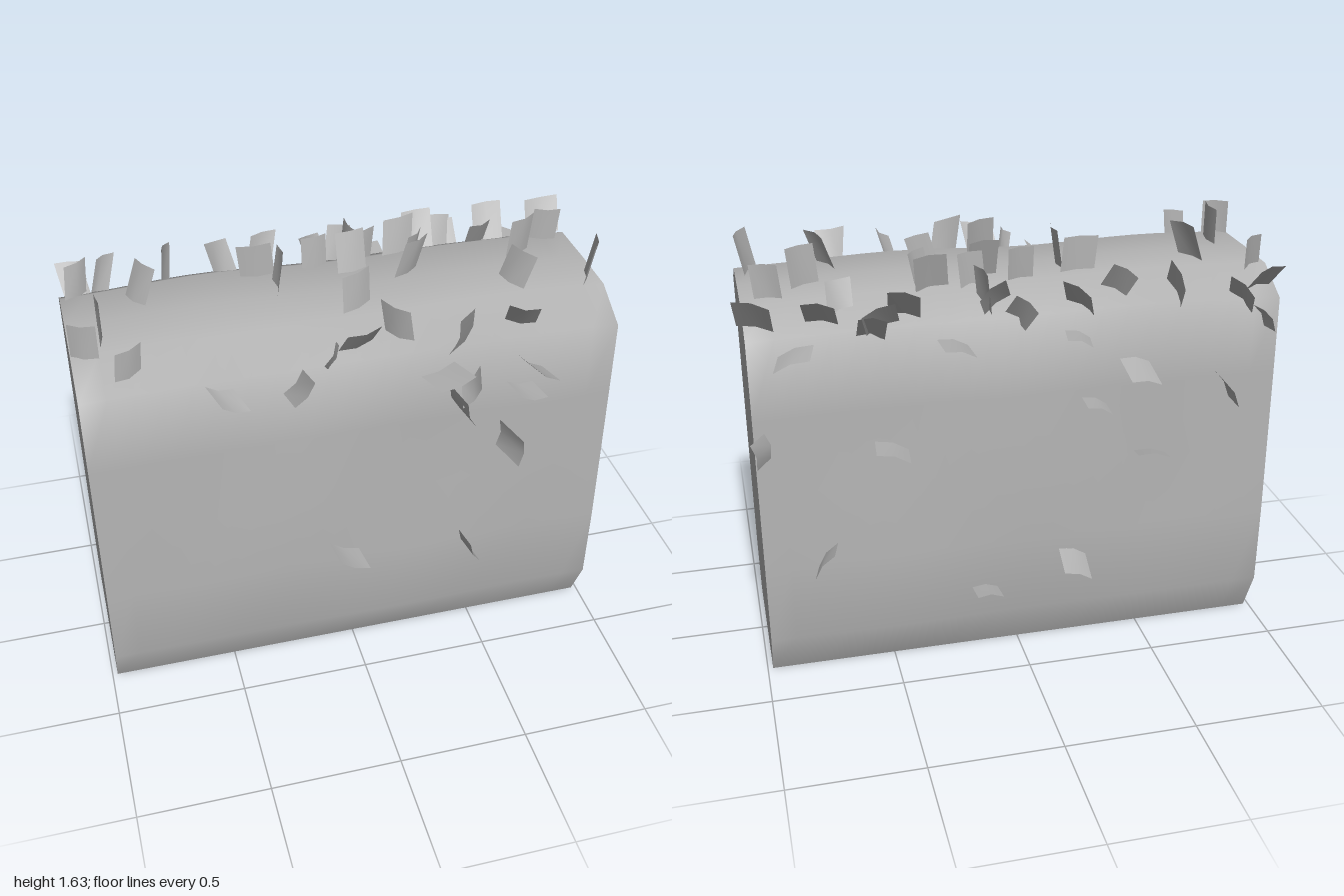
import * as THREE from 'three';

const HALF = 0.98;

// Cross-section as [z, y], from the front foot over the top to the back foot
const PROFILE = [
  [0.295, 0], [0.375, 0.18], [0.378, 0.5], [0.372, 0.8], [0.365, 1.1], [0.358, 1.39],
  [0.2, 1.475], [0, 1.478], [-0.2, 1.475],
  [-0.352, 1.39], [-0.36, 1.1], [-0.366, 0.8], [-0.372, 0.5], [-0.37, 0.18], [-0.29, 0],
];

// Leaves on each side: [x, position, turn in degrees, lean sideways, lean up the surface]
const FRONT = [
  [-0.5, 1.38, -15, 0.3, -0.1], [-0.24, 1.36, 52, 0.05, 0.3], [0.29, 1.32, 20, 0.25, 0.15],
  [0.42, 1.27, 48, -0.3, -0.1], [0.36, 1.19, -70, 0.1, 0.1], [0.64, 1.3, -35, 0.1, 0.2],
  [0.61, 1.21, -8, 0.1, 0.1], [0.54, 0.99, 85, 0.25, 0], [-0.06, 0.56, -25, 0.1, 0.05],
  [0.43, 0.49, -65, 0.1, 0.1],
];
const BACK = [
  [0.93, 1.0, 80, 0.5, 0.1], [0.74, 0.53, -50, 0.2, 0.2], [0.49, 0.95, 20, 0.1, 0.1],
  [0.15, 0.3, 5, 0, 0.2], [-0.2, 0.42, 20, 0.1, -0.2], [-0.5, 0.81, 10, 0.2, 0.35],
  [-0.27, 1.05, 20, 0.1, 0.1], [-0.42, 1.2, 10, 0, -0.2], [-0.77, 1.07, 60, 0.1, 0.1],
  [-0.2, 1.32, 20, 0.2, 0.1], [0.26, 1.33, 15, 0, 0.1], [0.81, 1.35, -15, 0.2, 0],
  [-0.9, 1.33, 60, 0.1, 0.2],
];
const TOP = [
  [-0.92, 0.21, 35, 0.1, 0.25], [-0.72, 0.1, -60, 0.35, 0.1], [-0.87, -0.1, 88, 0, 0],
  [-0.93, -0.2, -20, 0, 0], [-0.21, 0.06, 88, 0.15, 0], [0.13, 0.3, -80, 0.1, 0],
  [0.15, 0.2, 15, 0.1, 0], [0.1, 0.11, 10, 0, 0.35], [0.3, 0.2, 15, 0.1, 0.3],
  [0.32, 0.13, 45, 0.2, 0], [0.28, 0.04, 30, 0.3, 0], [0.05, -0.14, 28, 0, 0.15],
  [0.64, 0.28, 20, 0, -0.5], [0.74, 0.08, 25, 0.1, 0], [0.64, -0.12, -65, 0.35, 0],
  [0.88, 0.17, -15, 0.1, 0], [0.92, -0.15, 65, 0.2, 0], [-0.25, 0.16, 0, -0.1, 0],
  [-0.03, 0.18, 10, 0, 0.1],
];
const FRONT_EDGE = [
  [-0.8, 0, 20, 0.1, 0.7], [0.17, 0, -35, -0.2, 0.6], [0, 0, 10, 0.1, 0],
  [-0.08, -0.2, 55, -0.3, -0.2], [0.62, 0, -15, -0.15, 0], [0.36, -0.2, 60, 0.2, 0],
];
const BACK_EDGE = [
  [-0.91, 0, -10, -0.15, 0], [-0.83, -0.4, 55, 0.3, -0.1], [-0.58, 0, 80, 0.15, 0],
  [-0.35, 0.2, 40, -0.2, 0.1], [-0.22, -0.2, 40, 0.3, 0], [0.08, 0.1, -35, 0.3, -0.1],
  [0.03, -0.4, 50, -0.2, 0], [0.42, 0, 15, 0.1, 0], [0.5, -0.3, -20, 0.2, 0],
  [0.55, -0.5, 10, 0, 0], [0.71, 0, 12, 0.15, -0.1], [0.94, 0, 18, 0.1, 0.1],
];

// Height and depth swell gently along the length, fading out at both ends and the foot
function swell(x, z, y) {
  const fade = (1 - (x / HALF) ** 4) * Math.min(1, y / 0.2);
  const wave = Math.sin(4 * x + 3.1 * y + Math.sign(z)) + 0.7 * Math.sin(7 * x - 5 * y + 2 * z);
  const out = 0.0045 * wave * fade;
  const lift = y > 1.3 ? 0.014 * fade : 0;
  return [z + Math.sign(z) * out, y + lift + (y > 1.3 ? out : 0)];
}

// Skin: the cross-section swept along x, open underneath
function shellGeometry() {
  const steps = 20, n = PROFILE.length, pos = [], index = [];
  for (let i = 0; i <= steps; i++) {
    const x = -HALF + (2 * HALF * i) / steps;
    for (const [pz, py] of PROFILE) {
      const [z, y] = swell(x, pz, py);
      pos.push(x, y, z);
    }
  }
  for (let i = 0; i < steps; i++) {
    for (let j = 0; j < n - 1; j++) {
      const a = i * n + j, b = a + n;
      index.push(a, b, b + 1, a, b + 1, a + 1);
    }
  }
  const geo = new THREE.BufferGeometry();
  geo.setAttribute('position', new THREE.Float32BufferAttribute(pos, 3));
  geo.setIndex(index);
  geo.computeVertexNormals();
  return geo;
}

// Leaf: a slightly bowed card spanned by a width and a length vector
function leafGeometry(base, width, length) {
  const geo = new THREE.PlaneGeometry(1, 1, 2, 1);
  const bow = width.clone().cross(length).normalize().multiplyScalar(0.012);
  const p = geo.attributes.position, v = new THREE.Vector3();
  for (let i = 0; i < p.count; i++) {
    const u = p.getX(i), t = p.getY(i) + 0.5;
    v.copy(base).addScaledVector(width, u).addScaledVector(length, t)
      .addScaledVector(bow, 1 - 4 * u * u);
    p.setXYZ(i, v.x, v.y, v.z);
  }
  geo.computeVertexNormals();
  return geo;
}

export function createModel() {
  const model = new THREE.Group();
  model.name = 'hedge';
  const grey = new THREE.MeshStandardMaterial({ color: 0xb4b4b4, side: THREE.DoubleSide });
  grey.name = 'hedge grey';

  const add = (parent, geo, name) => {
    const mesh = new THREE.Mesh(geo, grey);
    mesh.name = name;
    parent.add(mesh);
    return mesh;
  };

  add(model, shellGeometry(), 'hedgeBody');

  // Flat ends
  const outline = new THREE.Shape(PROFILE.map(([z, y]) => new THREE.Vector2(z, y)));
  for (const side of [-1, 1]) {
    const geo = new THREE.ShapeGeometry(outline);
    geo.rotateY(-Math.PI / 2);
    if (side > 0) {
      const ix = geo.index.array;
      for (let i = 0; i < ix.length; i += 3) [ix[i], ix[i + 1]] = [ix[i + 1], ix[i]];
      geo.computeVertexNormals();
    }
    add(model, geo, side > 0 ? 'leftEnd' : 'rightEnd').position.x = side * HALF;
  }

  // Leaves: outward normal n, upward tangent t, and a rule that places the base
  const V = (x, y, z) => new THREE.Vector3(x, y, z);
  const along = V(1, 0, 0);
  const addLeaves = (name, list, n, t, place) => {
    const group = new THREE.Group();
    group.name = name;
    list.forEach(([x, s, turn, leanX, leanT], i) => {
      const a = THREE.MathUtils.degToRad(turn);
      const width = along.clone().multiplyScalar(Math.cos(a)).addScaledVector(t, Math.sin(a))
        .multiplyScalar(0.1 + 0.015 * (i % 3));
      const length = n.clone().addScaledVector(along, leanX).addScaledVector(t, leanT)
        .normalize().multiplyScalar(0.13 + 0.015 * ((i * 2) % 3));
      add(group, leafGeometry(place(x, s), width, length), 'leaf');
    });
    model.add(group);
  };
  const up = V(0, 1, 0);
  addLeaves('frontLeaves', FRONT, V(0, 0, 1), up, (x, y) => V(x, y, 0.36));
  addLeaves('backLeaves', BACK, V(0, 0, -1), up, (x, y) => V(x, y, -0.355));
  addLeaves('topLeaves', TOP, up, V(0, 0, -1), (x, s) => V(x, 1.475 - Math.max(0, Math.abs(s) - 0.2) * 0.5, -s));
  addLeaves('frontEdgeLeaves', FRONT_EDGE, V(0, 0.8, 0.6), V(0, 0.6, -0.8),
    (x, s) => V(x, 1.42 + s * 0.1, 0.29 - s * 0.1));
  addLeaves('backEdgeLeaves', BACK_EDGE, V(0, 0.75, -0.66), V(0, 0.66, 0.75),
    (x, s) => V(x, 1.42 + s * 0.1, -0.3 + s * 0.1));

  return model;
}
